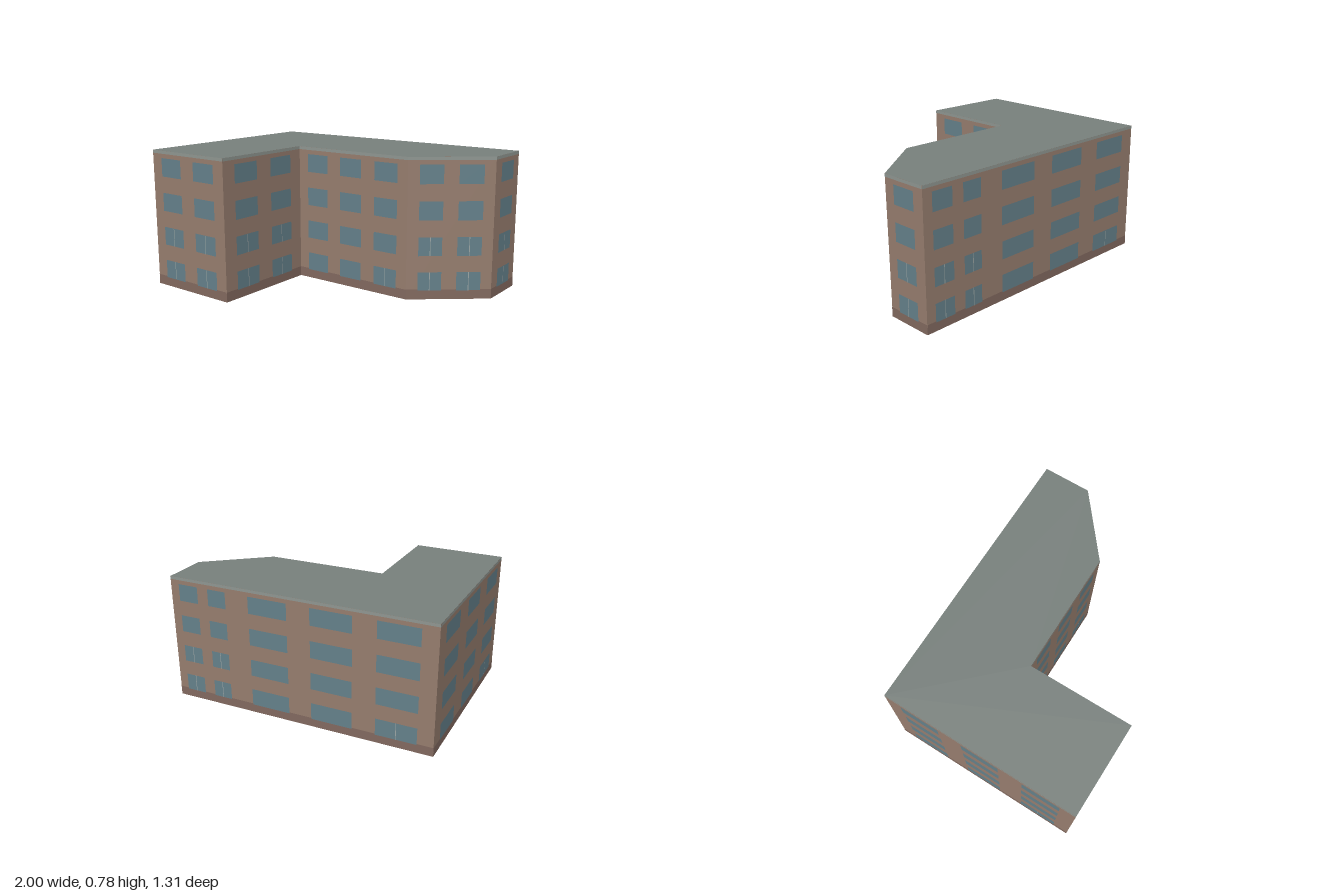
import * as THREE from 'three';

const HEIGHT = 0.776, PLINTH = 0.055, CORNICE = 0.759;
const ROWS = [0.049, 0.242, 0.437, 0.632], WINDOW_HEIGHT = 0.103;

// Each wall runs from its corner [x, z] to the next one, left to right seen from outside.
// Columns: [start, end, split], as fractions of the wall; split = lower storeys with a divided window.
const WALLS = [
  { at: [-1, 0.4], columns: [[0.13, 0.41, 2], [0.59, 0.87, 2]] },
  { at: [-0.505, 0.652], columns: [[0.135, 0.41, 2], [0.588, 0.86, 2]] },
  { at: [-0.235, 0.1], columns: [[0.085, 0.28, 0], [0.4, 0.596, 0], [0.714, 0.914, 1]] },
  { at: [0.425, 0.425], columns: [[0.136, 0.41, 2], [0.586, 0.87, 2]] },
  { at: [0.877, 0.325], columns: [[0.236, 0.764, 2]] },
  { at: [1, 0.073], columns: [[0.034, 0.111, 2], [0.154, 0.226, 2], [0.317, 0.466, 0], [0.553, 0.707, 0], [0.793, 0.942, 1]] },
  { at: [-0.478, -0.653], columns: [[0.083, 0.284, 0], [0.408, 0.604, 0], [0.728, 0.923, 1]] },
];

export function createModel() {
  const building = new THREE.Group();
  building.name = 'apartmentBuilding';

  const paint = (color, side = THREE.FrontSide) => new THREE.MeshStandardMaterial({ color, side });
  const brick = paint(0x967d6e, THREE.DoubleSide);
  const roofing = paint(0x78807c, THREE.DoubleSide);
  const trim = paint(0x8f9691);
  const base = paint(0x82695f);
  const glass = paint(0x64808a);
  const frame = paint(0x9aa5a4);

  WALLS.forEach(({ at: [x, z], columns }, i) => {
    const [nx, nz] = WALLS[(i + 1) % WALLS.length].at;
    const length = Math.hypot(nx - x, nz - z);

    // Local frame: x along the wall, y up, z outward
    const wall = new THREE.Group();
    wall.name = `wall${i + 1}`;
    wall.position.set(x, 0, z);
    wall.rotation.y = Math.atan2(z - nz, nx - x);
    building.add(wall);

    const panel = (name, x0, x1, y0, y1, offset, material) => {
      const mesh = new THREE.Mesh(new THREE.PlaneGeometry(x1 - x0, y1 - y0), material);
      mesh.name = name;
      mesh.position.set((x0 + x1) / 2, (y0 + y1) / 2, offset);
      wall.add(mesh);
    };

    panel('facade', 0, length, 0, HEIGHT, 0, brick);
    panel('plinth', 0, length, 0, PLINTH, 0.001, base);
    panel('cornice', 0, length, CORNICE, HEIGHT, 0.001, trim);

    // Windows on every storey, some divided by a thin mullion
    for (const [start, end, split] of columns) {
      const mid = ((start + end) / 2) * length;
      ROWS.forEach((y, storey) => {
        panel('window', start * length, end * length, y, y + WINDOW_HEIGHT, 0.002, glass);
        if (storey < split) panel('mullion', mid - 0.002, mid + 0.002, y, y + WINDOW_HEIGHT, 0.003, frame);
      });
    }
  });

  // Flat roof over the whole footprint
  const outline = new THREE.Shape(WALLS.map(({ at: [x, z] }) => new THREE.Vector2(x, -z)));
  const roof = new THREE.Mesh(new THREE.ShapeGeometry(outline).rotateX(-Math.PI / 2), roofing);
  roof.name = 'roof';
  roof.position.y = HEIGHT;
  building.add(roof);

  return building;
}
